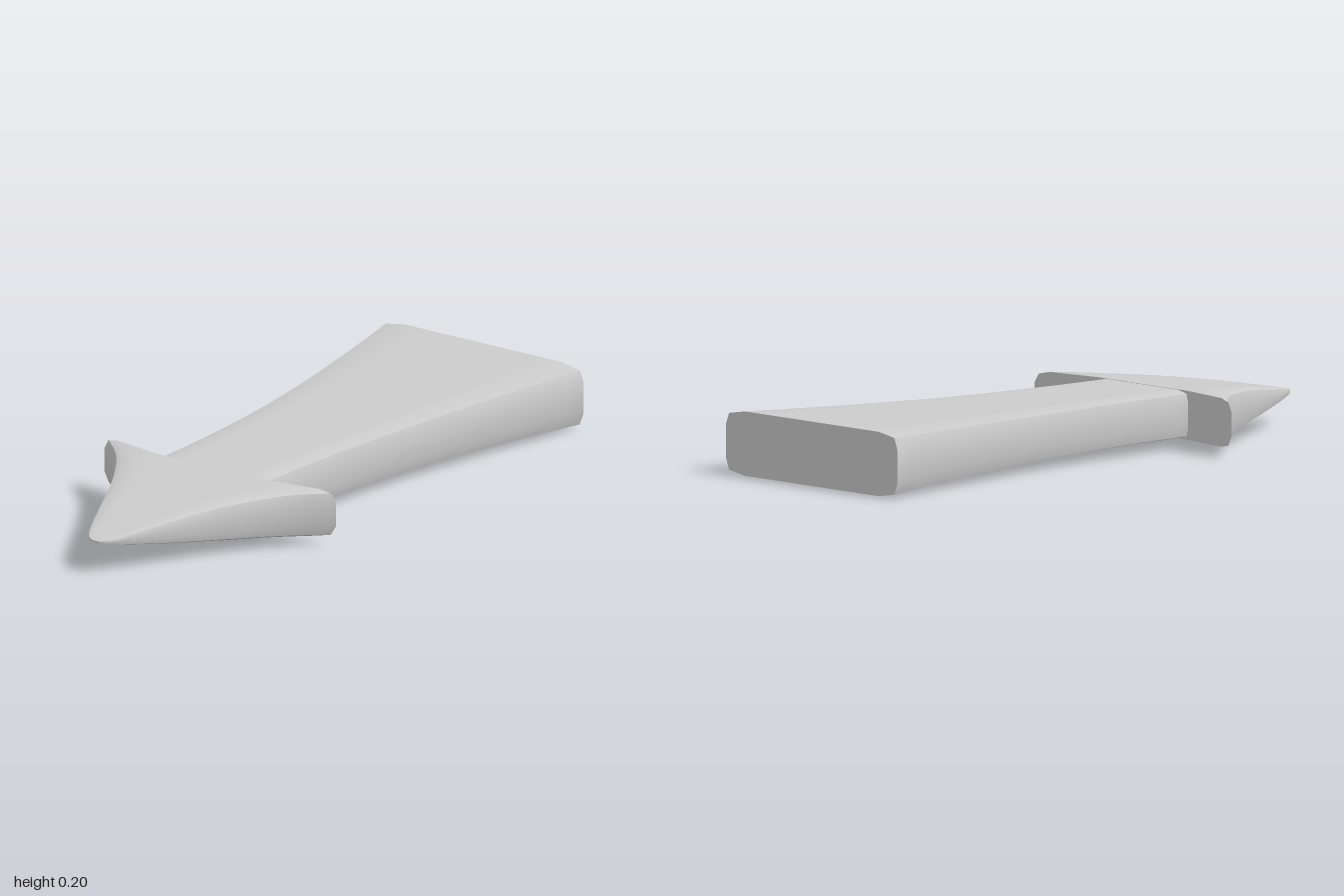
import * as THREE from 'three';
import { toCreasedNormals } from 'three/addons/utils/BufferGeometryUtils.js';

const NECK = 0.205; // half width where the barbs meet the shaft
const SWEEP = 0.168; // how far the barbs bend back per unit of width

// Rounded flat cross-section, top row then bottom row, 8 points each.
function section(x, w, h, flat, sweep) {
  const bend = (z) => sweep * Math.max(0, Math.abs(z) - NECK);
  const x0 = x - bend(w);
  const yc = x > 0 ? 0.103 - 0.003 * x : 0.103;
  const half = [[w, 0.5 * h], [0.962 * w, 0.88 * h], [flat * w, h], [Math.min(NECK, 0.6 * w), h]];
  const top = [...half, ...half.map(([z, y]) => [-z, y]).reverse()];
  const ring = [...top, ...top.map(([z, y]) => [z, -y]).reverse()];
  return ring.map(([z, y]) => [x0 + bend(z), yc + y, z]);
}

// Skin of a row of sections along +x, with strip caps at the chosen ends.
function loft(rings, capStart, capEnd) {
  const pos = [];
  const quad = (a, b, c, d) => pos.push(...a, ...b, ...c, ...a, ...c, ...d);
  const n = rings[0].length;
  for (let i = 0; i < rings.length - 1; i++) {
    const A = rings[i], B = rings[i + 1];
    for (let j = 0; j < n; j++) {
      const k = (j + 1) % n;
      quad(A[j], B[j], B[k], A[k]);
    }
  }
  const cap = (R, flip) => {
    for (let j = 0; j < n / 2 - 1; j++) {
      const q = [R[j], R[n - 1 - j], R[n - 2 - j], R[j + 1]];
      quad(...(flip ? q.reverse() : q));
    }
  };
  if (capStart) cap(rings[0], true);
  if (capEnd) cap(rings[rings.length - 1], false);
  const geo = new THREE.BufferGeometry();
  geo.setAttribute('position', new THREE.Float32BufferAttribute(pos, 3));
  return toCreasedNormals(geo, 0.6);
}

// Stations are [x, half width, half height], smoothed by a curve.
function sections(stations, steps, flat, sweep) {
  const curve = new THREE.CatmullRomCurve3(stations.map((s) => new THREE.Vector3(...s)));
  return curve.getPoints(steps).map((p) => section(p.x, p.y, p.z, flat, sweep));
}

export function createModel() {
  const group = new THREE.Group();
  group.name = 'arrow';
  const material = new THREE.MeshStandardMaterial({ color: 0xcccccc });
  const add = (name, geo) => {
    const mesh = new THREE.Mesh(geo, material);
    mesh.name = name;
    group.add(mesh);
  };

  // Pointed head with swept-back barbs
  const head = [
    [-1, 0.012, 0.003], [-0.985, 0.036, 0.006], [-0.94, 0.066, 0.014], [-0.8, 0.135, 0.037],
    [-0.65, 0.207, 0.057], [-0.5, 0.3, 0.07], [-0.42, 0.368, 0.075], [-0.355, 0.443, 0.076],
  ];
  add('arrowHead', loft(sections(head, 28, 0.87, SWEEP), true, true));

  // Shaft flaring toward its flat end
  const shaft = [
    [-0.395, 0.206, 0.075], [-0.2, 0.212, 0.075], [0, 0.224, 0.076], [0.2, 0.244, 0.078],
    [0.4, 0.272, 0.082], [0.7, 0.325, 0.09], [1, 0.386, 0.1],
  ];
  add('shaft', loft(sections(shaft, 24, 0.78, 0), false, true));

  return group;
}
